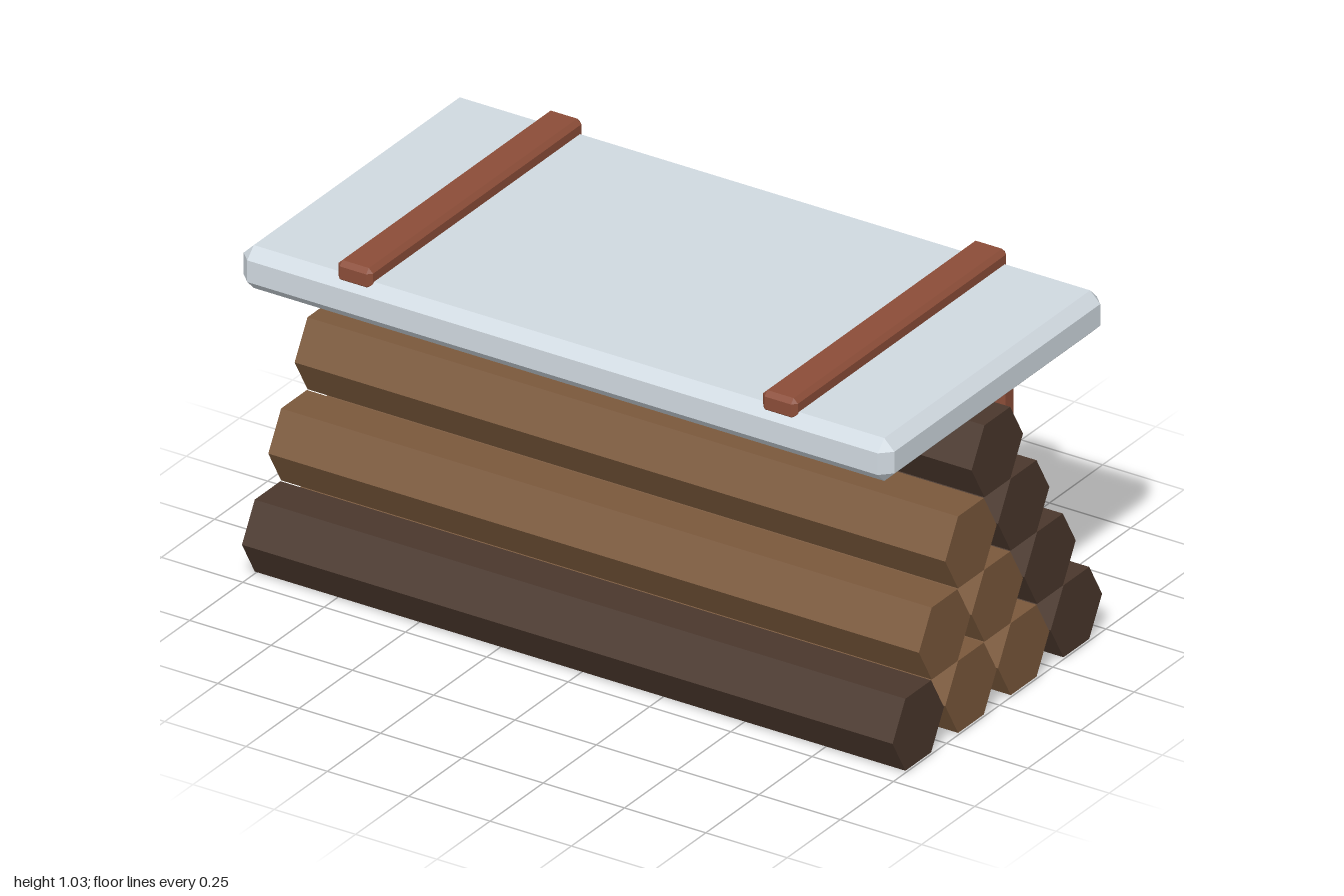
import * as THREE from 'three';
import { ConvexGeometry } from 'three/addons/geometries/ConvexGeometry.js';

const paint = (color) => new THREE.MeshStandardMaterial({ color, flatShading: true });

// Box with all edges and corners cut at 45 degrees
function chamferedBox(w, h, d, c) {
  const points = [];
  for (const sx of [-1, 1]) for (const sy of [-1, 1]) for (const sz of [-1, 1]) {
    const x = w / 2, y = h / 2, z = d / 2;
    points.push(
      new THREE.Vector3(sx * x, sy * (y - c), sz * (z - c)),
      new THREE.Vector3(sx * (x - c), sy * y, sz * (z - c)),
      new THREE.Vector3(sx * (x - c), sy * (y - c), sz * z));
  }
  return new ConvexGeometry(points);
}

export function createModel() {
  const model = new THREE.Group();
  const lightWood = paint(0x7a583b), darkWood = paint(0x4a372c);
  const redWood = paint(0x8b4d38), metal = paint(0xd0d9e0);

  function add(parent, name, geometry, material, x, y, z) {
    const mesh = new THREE.Mesh(geometry, material);
    mesh.name = name;
    mesh.position.set(x, y, z);
    parent.add(mesh);
  }

  // Pyramid of hexagonal logs lying along x
  const midZ = 0.011;
  const logs = new THREE.Group();
  logs.name = 'logPile';
  model.add(logs);
  const logGeometry = new THREE.CylinderGeometry(0.121, 0.121, 2, 6).rotateZ(Math.PI / 2);
  for (let row = 0; row < 4; row++) {
    const count = 4 - row;
    for (let i = 0; i < count; i++) {
      // The back log of each row, the top log and the front bottom log are dark
      const dark = i === count - 1 || (row === 0 && i === 0);
      const z = midZ + ((count - 1) / 2 - i) * 0.248;
      add(logs, 'log', logGeometry, dark ? darkWood : lightWood, 0, 0.111 + row * 0.2105, z);
    }
  }

  // Roof slab
  add(model, 'roofSlab', chamferedBox(2, 0.125, 1.031, 0.031), metal, 0, 0.927, midZ);

  // Back posts and the battens across the roof
  const post = chamferedBox(0.107, 0.95, 0.062, 0.013);
  const batten = chamferedBox(0.107, 0.062, 1.006, 0.013);
  for (const [side, s] of [['left', 1], ['right', -1]]) {
    add(model, side + 'BackPost', post, redWood, s * 0.653, 0.475, -0.496);
    add(model, side + 'RoofBatten', batten, redWood, s * 0.653, 0.997, 0.01);
  }
  return model;
}
